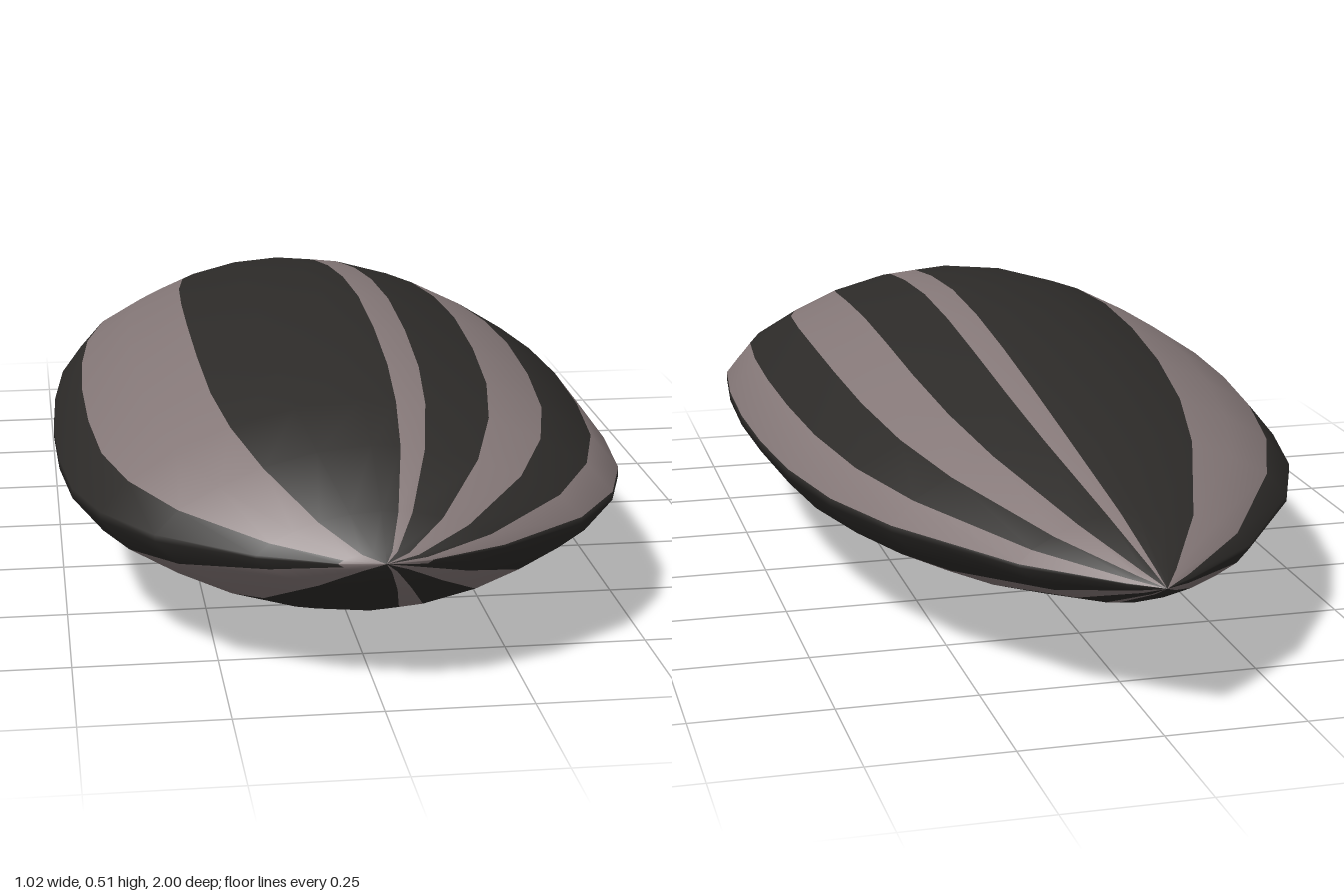
import * as THREE from 'three';

// Upper cross-section at the widest point, from the left edge over the top to the right edge: [x, height above middle]
const upper = [
  [0.51, 0.01], [0.455, 0.082], [0.36, 0.145], [0.255, 0.2], [0.128, 0.24], [0.07, 0.247], [0, 0.254],
  [-0.128, 0.24], [-0.255, 0.2], [-0.36, 0.145], [-0.455, 0.082], [-0.51, 0.01],
];
const section = [...upper, ...upper.map(([x, y]) => [x, -y]).reverse()];

// One letter per strip around the section: L = light, D = dark
const stripes = 'LDLDLDDDLLD' + 'D' + 'DLLDDDLDLDD' + 'D';

// Rings from the pointed back to the blunt front: [z, width factor, height factor]
const rings = [
  [-1, 0, 0], [-0.96, 0.11, 0.09], [-0.83, 0.395, 0.32], [-0.58, 0.715, 0.59], [-0.4, 0.86, 0.745],
  [-0.2, 0.945, 0.875], [0, 0.985, 0.965], [0.2, 1, 1], [0.4, 0.99, 0.955], [0.575, 0.955, 0.865],
  [0.706, 0.87, 0.745], [0.828, 0.705, 0.57], [0.94, 0.4, 0.27], [0.99, 0.15, 0.07], [1, 0, 0],
];
const MIDDLE = 0.254;

export function createModel() {
  const n = section.length;
  const positions = rings.flatMap(([z, w, h]) => section.flatMap(([x, y]) => [x * w, MIDDLE + y * h, z]));

  // Sort the faces of the skin by stripe colour
  const faces = { L: [], D: [] };
  const last = rings.length - 2;
  for (let i = 0; i <= last; i++) {
    for (let j = 0; j < n; j++) {
      const k = (j + 1) % n;
      const a = i * n + j, b = i * n + k, c = b + n, d = a + n;
      // The side stripes stop just short of the front tip
      const nearSide = [10, 11, 12, 22, 23].includes(j);
      const list = faces[i === last && nearSide ? 'L' : stripes[j]];
      if (i < last) list.push(a, b, c);
      else list.push(a, b, d);
      if (i > 0 && i < last) list.push(a, c, d);
      if (i === 0) list.splice(list.length - 3, 3, a, c, d);
    }
  }

  // Normals come from the whole skin, so shading stays smooth across the stripes
  const skin = new THREE.BufferGeometry();
  skin.setAttribute('position', new THREE.Float32BufferAttribute(positions, 3));
  skin.setIndex([...faces.L, ...faces.D]);
  skin.computeVertexNormals();

  const group = new THREE.Group();
  group.name = 'stripedSeed';
  const addStripes = (name, index, color) => {
    const geometry = skin.clone();
    geometry.setIndex(index);
    const mesh = new THREE.Mesh(geometry, new THREE.MeshStandardMaterial({ color }));
    mesh.name = name;
    group.add(mesh);
  };
  addStripes('lightStripes', faces.L, 0x857878);
  addStripes('darkStripes', faces.D, 0x2d2b29);
  return group;
}
